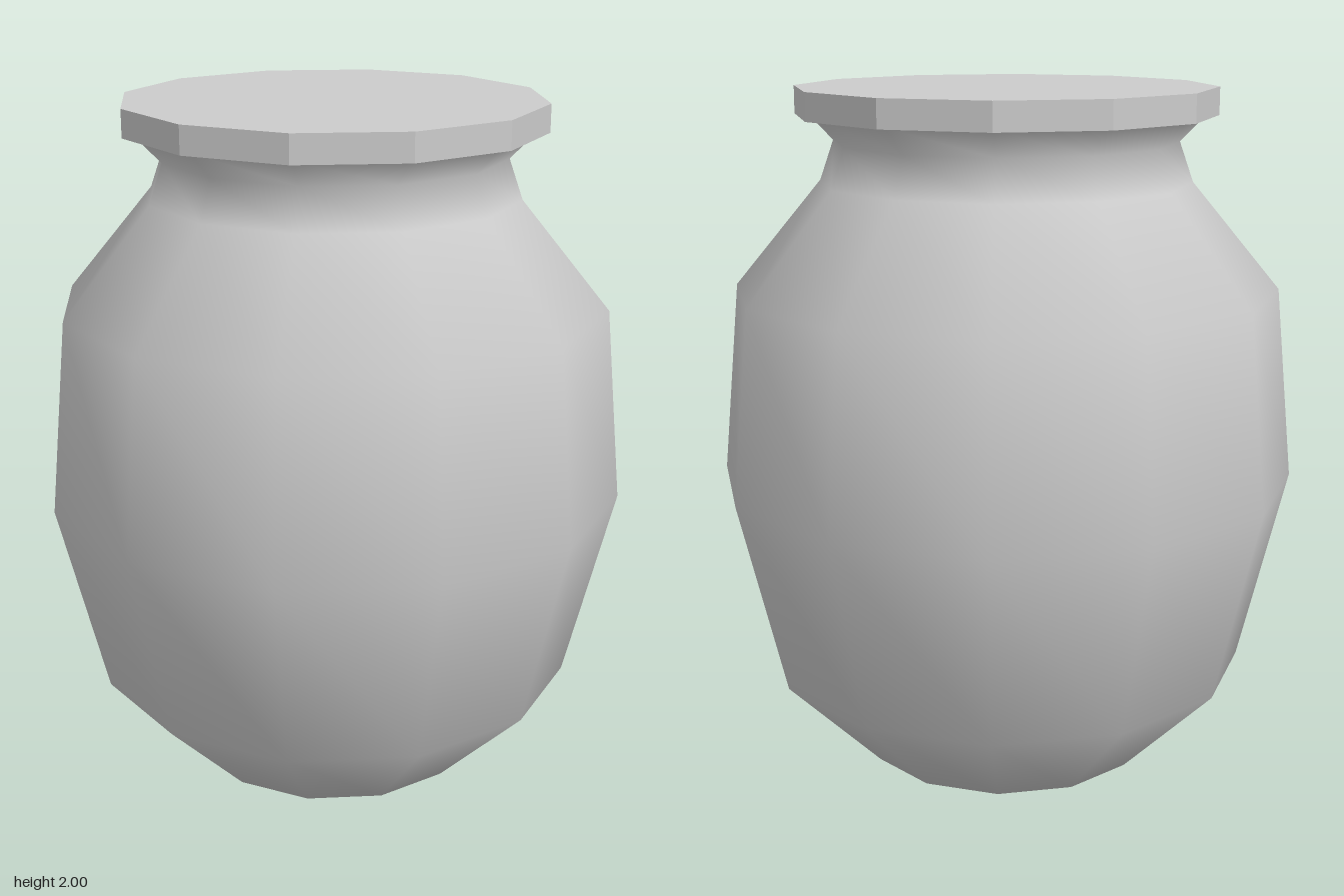
import * as THREE from 'three';

const SIDES = 12;

export function createModel() {
  const group = new THREE.Group();
  group.name = 'jar';

  // Rounded body with closed base and flared neck, smooth shaded
  const profile = [
    [0, 0], [0.425, 0], [0.71, 0.285], [0.85, 0.86], [0.797, 1.42],
    [0.54, 1.73], [0.5, 1.845], [0.575, 1.922],
  ].map(([r, y]) => new THREE.Vector2(r, y));
  const body = new THREE.Mesh(
    new THREE.LatheGeometry(profile, SIDES),
    new THREE.MeshStandardMaterial({ color: 0xcccccc, side: THREE.DoubleSide })
  );
  body.name = 'body';
  group.add(body);

  // Flat faceted lid
  const lid = new THREE.Mesh(
    new THREE.CylinderGeometry(0.61, 0.61, 0.08, SIDES),
    new THREE.MeshStandardMaterial({ color: 0xcccccc, flatShading: true })
  );
  lid.name = 'lid';
  lid.position.y = 1.96;
  group.add(lid);

  return group;
}
